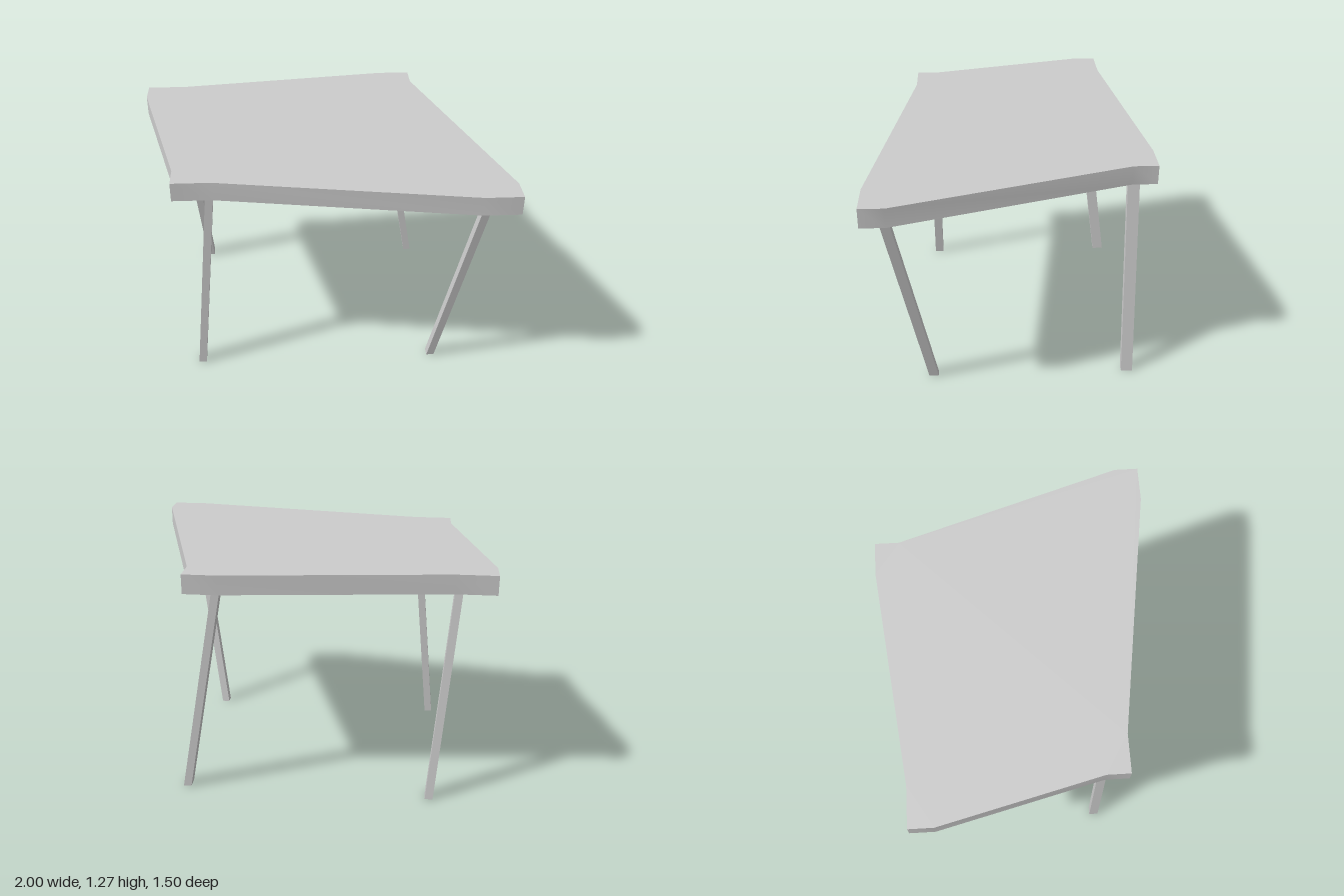
import * as THREE from 'three';
import { toCreasedNormals } from 'three/addons/utils/BufferGeometryUtils.js';

const TOP = 1.27, UNDER = 1.165;

// Skewed slab outline as [x, z], with a short flat on each side of every corner
const OUTLINE = [
  [-1, -0.605], [-0.78, -0.605], [0.42, -0.752], [0.602, -0.752],
  [0.602, -0.62], [0.998, 0.62], [0.998, 0.75], [0.8, 0.75],
  [-0.57, 0.538], [-0.782, 0.538], [-0.782, 0.41], [-1, -0.47],
];

// Each leg: centre of its top and foot as [x, z], and its depth along z
const LEGS = [
  { name: 'frontLeftLeg', top: [0.84, 0.657], foot: [0.648, 0.446], depth: 0.052 },
  { name: 'frontRightLeg', top: [-0.59, 0.446], foot: [-0.7, 0.446], depth: 0.052 },
  { name: 'backLeftLeg', top: [0.443, -0.652], foot: [0.648, -0.652], depth: 0.064 },
  { name: 'backRightLeg', top: [-0.808, -0.502], foot: [-0.7, -0.652], depth: 0.064 },
];

export function createModel() {
  const group = new THREE.Group();
  group.name = 'table';
  const material = new THREE.MeshStandardMaterial({ color: 0xcccccc });

  // Tabletop: shallow bends stay smooth, real corners stay sharp
  const shape = new THREE.Shape(OUTLINE.map(([x, z]) => new THREE.Vector2(x, -z)));
  const slab = new THREE.ExtrudeGeometry(shape, { depth: TOP - UNDER, bevelEnabled: false });
  slab.rotateX(-Math.PI / 2).translate(0, UNDER, 0);
  const tabletop = new THREE.Mesh(toCreasedNormals(slab, 0.5), material);
  tabletop.name = 'tabletop';
  group.add(tabletop);

  // Legs: boxes sheared so both ends stay level
  for (const { name, top, foot, depth } of LEGS) {
    const box = new THREE.BoxGeometry(0.043, UNDER, depth).translate(0, UNDER / 2, 0);
    const p = box.attributes.position;
    for (let i = 0; i < p.count; i++) {
      const t = p.getY(i) / UNDER;
      p.setX(i, p.getX(i) + THREE.MathUtils.lerp(foot[0], top[0], t));
      p.setZ(i, p.getZ(i) + THREE.MathUtils.lerp(foot[1], top[1], t));
    }
    box.computeVertexNormals();
    const leg = new THREE.Mesh(box, material);
    leg.name = name;
    group.add(leg);
  }
  return group;
}
